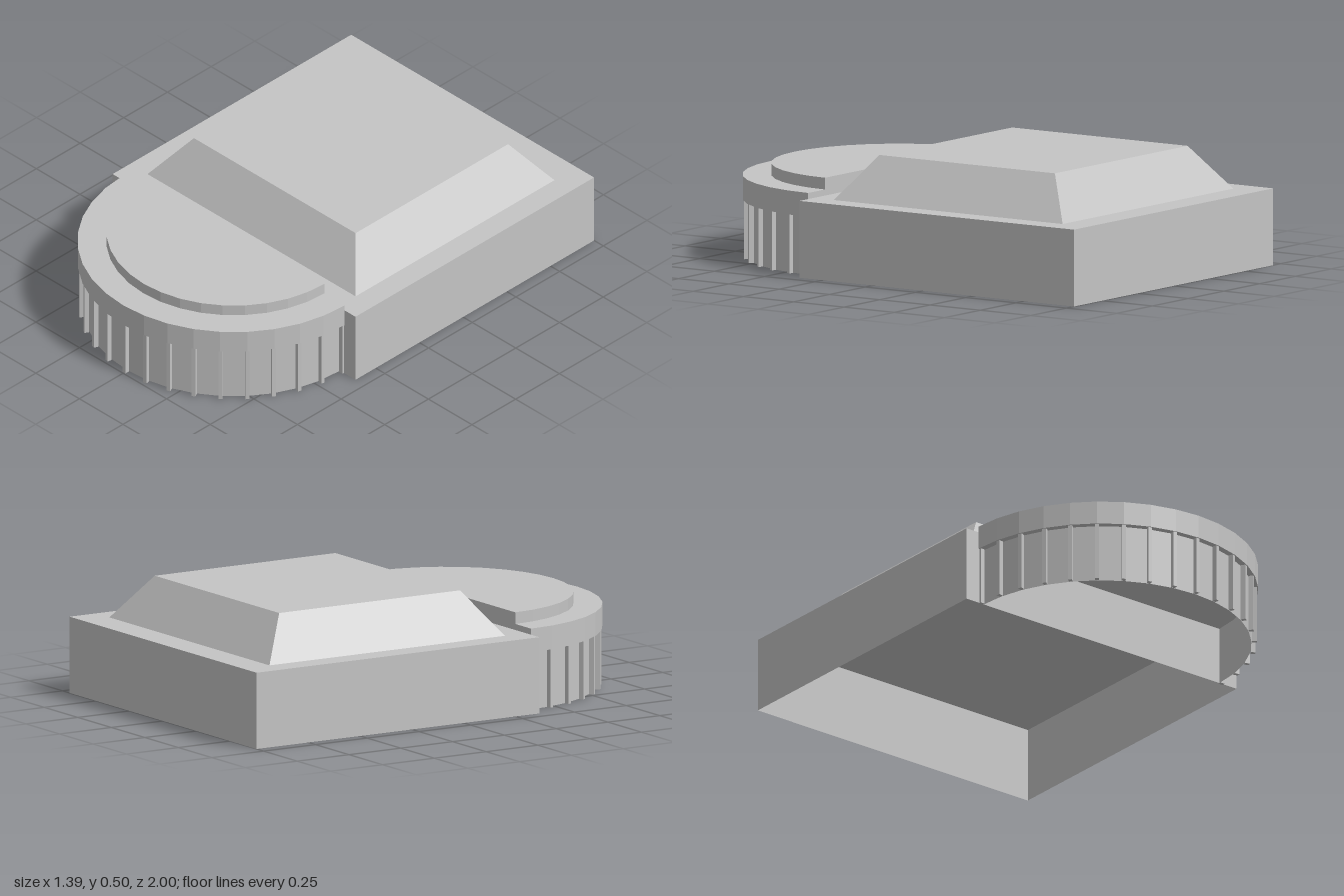
import * as THREE from 'three';

const FRONT = 0.365;   // z of the hall's front wall, centre of the round porch
const STEPS = 18;      // facets and mullion bays around the half circle

// Box standing on y = 0 without a floor; the top can be narrowed by `inset`
function openBox(w, h, d, inset = 0) {
  const geo = new THREE.BoxGeometry(w, h, d).translate(0, h / 2, 0);
  const index = Array.from(geo.index.array);
  index.splice(18, 6);
  geo.setIndex(index);
  geo.clearGroups();
  const p = geo.attributes.position;
  for (let i = 0; i < p.count; i++) {
    if (p.getY(i) > h / 2) {
      p.setX(i, p.getX(i) - Math.sign(p.getX(i)) * inset);
      p.setZ(i, p.getZ(i) - Math.sign(p.getZ(i)) * inset);
    }
  }
  geo.computeVertexNormals();
  return geo;
}

// Solid faceted half disc bulging towards +z, between heights y0 and y1
function halfDisc(r, y0, y1) {
  const pts = [];
  for (let i = 0; i <= STEPS; i++) {
    const a = (i / STEPS) * Math.PI;
    pts.push(new THREE.Vector2(Math.cos(a) * r, Math.sin(a) * r));
  }
  const geo = new THREE.ExtrudeGeometry(new THREE.Shape(pts), { depth: y1 - y0, bevelEnabled: false });
  return geo.rotateX(Math.PI / 2).translate(0, y1, FRONT);
}

export function createModel() {
  const model = new THREE.Group();
  const grey = new THREE.MeshStandardMaterial({ color: 0xc4c4c4, flatShading: true, side: THREE.DoubleSide });
  grey.name = 'plain grey';

  const add = (name, geo, parent = model) => {
    const mesh = new THREE.Mesh(geo, grey);
    mesh.name = name;
    parent.add(mesh);
    return mesh;
  };

  // Main hall, open underneath, with a sloped roof
  add('hall', openBox(1.394, 0.315, 1.365)).position.z = -0.3175;
  add('slopedRoof', openBox(1.194, 0.18, 1.138, 0.133)).position.set(0, 0.315, -0.304);

  // Round porch: wall, canopy and raised upper tier
  add('porchWall', new THREE.CylinderGeometry(0.608, 0.608, 0.242, STEPS, 1, true, -Math.PI / 2, Math.PI)
    .translate(0, 0.121, FRONT));
  add('canopy', halfDisc(0.635, 0.242, 0.34));
  add('upperTier', halfDisc(0.518, 0.34, 0.388));

  // Upright mullions around the porch wall
  const mullions = new THREE.Group();
  mullions.name = 'mullions';
  model.add(mullions);
  const bar = new THREE.BoxGeometry(0.016, 0.242, 0.02);
  for (let i = 0; i <= STEPS; i++) {
    const a = (i / STEPS - 0.5) * Math.PI;
    const mesh = add('mullion', bar, mullions);
    mesh.position.set(Math.sin(a) * 0.62, 0.121, FRONT + Math.cos(a) * 0.62);
    mesh.rotation.y = a;
  }
  return model;
}
